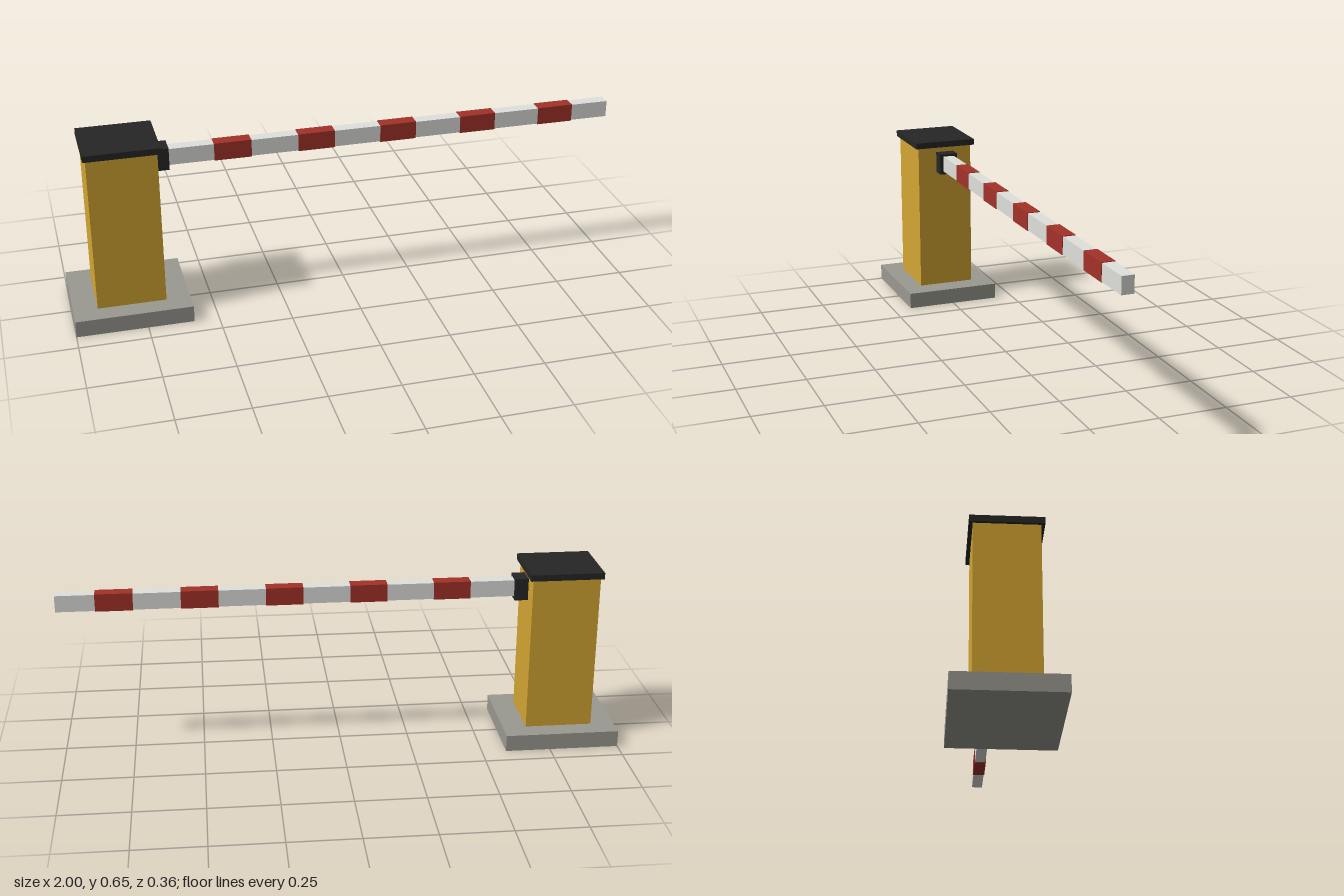
import * as THREE from 'three';

const material = (name, color) => {
  const m = new THREE.MeshStandardMaterial({ color });
  m.name = name;
  return m;
};

export function createModel() {
  const model = new THREE.Group();
  model.name = 'barrierGate';

  const concrete = material('concrete grey', 0x9a9991);
  const yellow = material('cabinet yellow', 0xd4a633);
  const black = material('cap black', 0x262626);
  const white = material('arm white', 0xe0e0dc);
  const red = material('stripe red', 0xa43228);

  // Box given by its x and y extents and its depth, centred on z = 0
  const addBox = (name, mat, x0, x1, y0, y1, depth) => {
    const mesh = new THREE.Mesh(new THREE.BoxGeometry(x1 - x0, y1 - y0, depth), mat);
    mesh.position.set((x0 + x1) / 2, (y0 + y1) / 2, 0);
    mesh.name = name;
    model.add(mesh);
  };

  // Post: footing, cabinet and overhanging cap
  addBox('base', concrete, -1, -0.588, 0, 0.06, 0.36);
  addBox('cabinet', yellow, -0.915, -0.673, 0.06, 0.629, 0.216);
  addBox('cap', black, -0.925, -0.662, 0.629, 0.652, 0.24);

  // Arm and the pivot block that holds it
  addBox('pivotBlock', black, -0.673, -0.625, 0.528, 0.609, 0.07);
  addBox('arm', white, -0.625, 1, 0.54, 0.6, 0.043);

  // Sleeve stripes spaced evenly along the arm
  for (let i = 0; i < 5; i++) {
    const x = -0.4 + i * 0.299;
    addBox(`stripe${i + 1}`, red, x - 0.066, x + 0.066, 0.538, 0.602, 0.047);
  }

  return model;
}
